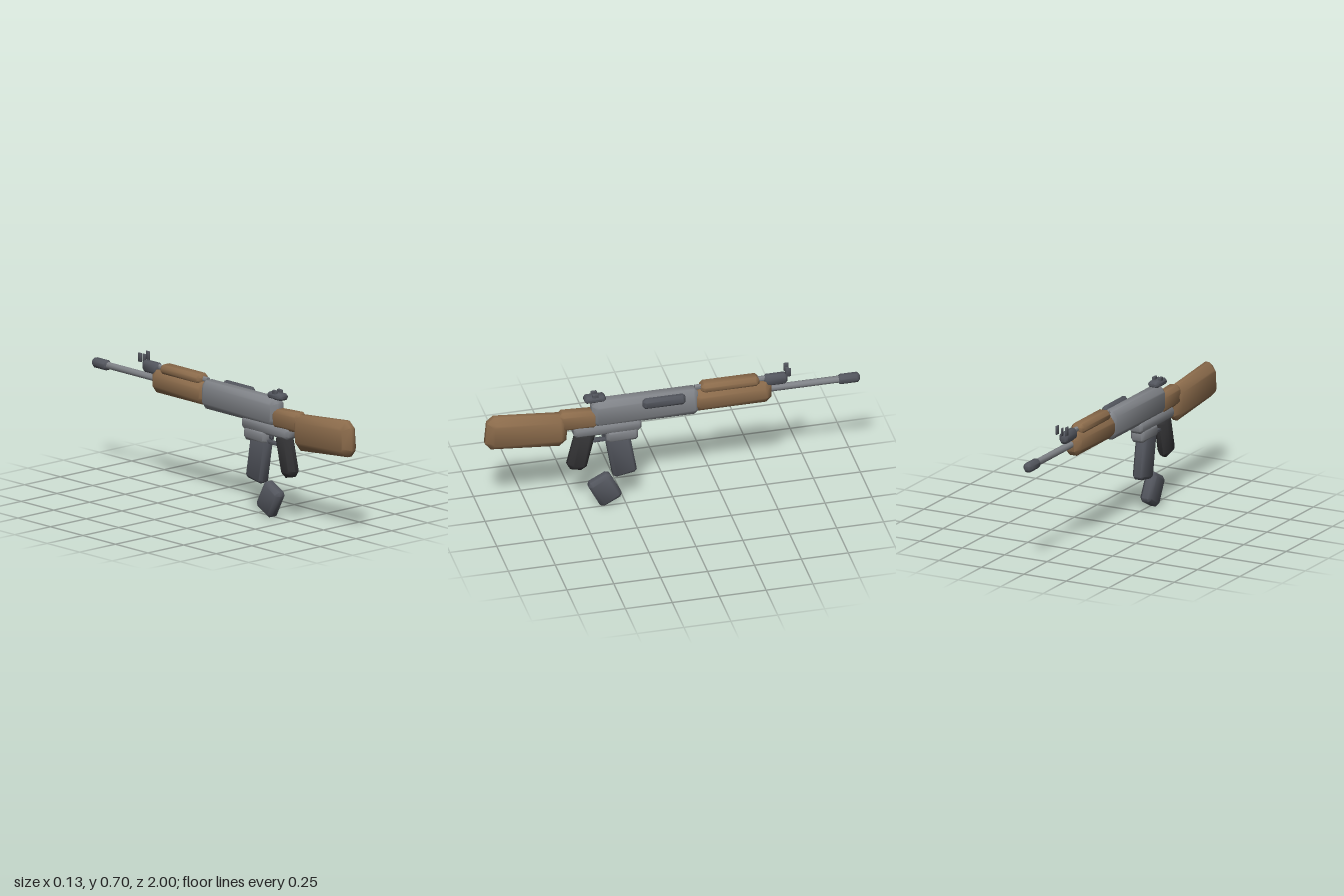
import * as THREE from 'three';
import { toCreasedNormals } from 'three/addons/utils/BufferGeometryUtils.js';

const CX = -0.015; // centre line of the body
const mat = (color) => new THREE.MeshStandardMaterial({ color });

// Box with every edge chamfered by b: w along x, h along y, d along z
function chamferBox(w, h, d, b) {
  const X = d / 2 - b, Y = h / 2 - b, c = b * 0.414;
  const shape = new THREE.Shape([
    [X - c, -Y], [X, -Y + c], [X, Y - c], [X - c, Y],
    [-X + c, Y], [-X, Y - c], [-X, -Y + c], [-X + c, -Y],
  ].map(([x, y]) => new THREE.Vector2(x, y)));
  const geo = new THREE.ExtrudeGeometry(shape, {
    depth: w - 2 * b, bevelEnabled: true, bevelSegments: 1, bevelSize: b, bevelThickness: b,
  });
  geo.translate(0, 0, -(w - 2 * b) / 2);
  geo.rotateY(-Math.PI / 2);
  return toCreasedNormals(geo, 0.9);
}

export function createModel() {
  const model = new THREE.Group();
  model.name = 'toyRifle';
  const wood = mat(0x8b6b4b), metal = mat(0x808388), dark = mat(0x53565e), black = mat(0x343436);

  const add = (name, geo, material, x, y, z, tilt = 0) => {
    const mesh = new THREE.Mesh(geo, material);
    mesh.name = name;
    mesh.position.set(x, y, z);
    mesh.rotation.x = tilt;
    model.add(mesh);
  };
  // Chamfered block given by its centre, size and tilt about x
  const block = (name, m, w, h, d, b, y, z, tilt = 0, x = CX) =>
    add(name, chamferBox(w, h, d, b), m, x, y, z, tilt);
  // Chamfered block given by its y and z limits
  const span = (name, m, w, y0, y1, z0, z1, b, x = CX) =>
    block(name, m, w, y1 - y0, z1 - z0, b, (y0 + y1) / 2, (z0 + z1) / 2, 0, x);
  // Round bar running along z
  const bar = (name, m, r, y, z0, z1) => {
    const geo = new THREE.CylinderGeometry(r, r, z1 - z0, 8);
    geo.rotateX(Math.PI / 2);
    add(name, toCreasedNormals(geo, 0.9), m, CX, y, (z0 + z1) / 2);
  };

  // Wooden furniture
  block('stock', wood, 0.093, 0.19, 0.435, 0.034, 0.515, 0.778, -0.09);
  block('stockNeck', wood, 0.076, 0.105, 0.21, 0.018, 0.546, 0.505, -0.05);
  span('handguard', wood, 0.098, 0.513, 0.633, -0.524, -0.107, 0.028);
  span('upperHandguard', wood, 0.077, 0.615, 0.67, -0.46, -0.15, 0.016);

  // Body
  span('receiver', metal, 0.093, 0.497, 0.647, -0.14, 0.433, 0.025);
  span('lowerReceiver', metal, 0.08, 0.447, 0.51, 0.17, 0.53, 0.014);
  span('magazineWell', metal, 0.08, 0.393, 0.465, 0.187, 0.355, 0.014);
  span('sideCover', dark, 0.042, 0.592, 0.648, -0.057, 0.17, 0.013, 0.041);

  // Trigger and its guard
  span('triggerGuard', dark, 0.03, 0.395, 0.412, 0.34, 0.45, 0.004);
  span('trigger', dark, 0.016, 0.42, 0.455, 0.355, 0.375, 0.003);

  // Grip and magazine sections
  block('grip', black, 0.07, 0.235, 0.108, 0.025, 0.358, 0.488, -0.24);
  block('magazine', dark, 0.065, 0.26, 0.128, 0.014, 0.31, 0.275, 0.17);
  block('lowerMagazine', dark, 0.065, 0.165, 0.13, 0.017, 0.099, 0.36, 0.48);

  // Barrel line
  bar('barrel', metal, 0.019, 0.579, -0.9, -0.48);
  bar('gasTube', metal, 0.014, 0.645, -0.5, -0.12);
  span('muzzle', dark, 0.05, 0.553, 0.603, -1, -0.88, 0.014);

  // Sights
  span('rearSightBase', dark, 0.063, 0.642, 0.677, 0.357, 0.47, 0.012);
  span('frontSightBase', dark, 0.05, 0.602, 0.663, -0.612, -0.487, 0.014);
  for (const s of [-1, 1]) {
    span('rearSightNotch', dark, 0.016, 0.67, 0.692, 0.397, 0.43, 0.003, CX + s * 0.017);
    span('frontSightWing', dark, 0.008, 0.655, 0.702, -0.627, -0.603, 0.001, CX + s * 0.028);
  }
  span('frontSightPost', dark, 0.007, 0.65, 0.692, -0.622, -0.603, 0.001);
  return model;
}
